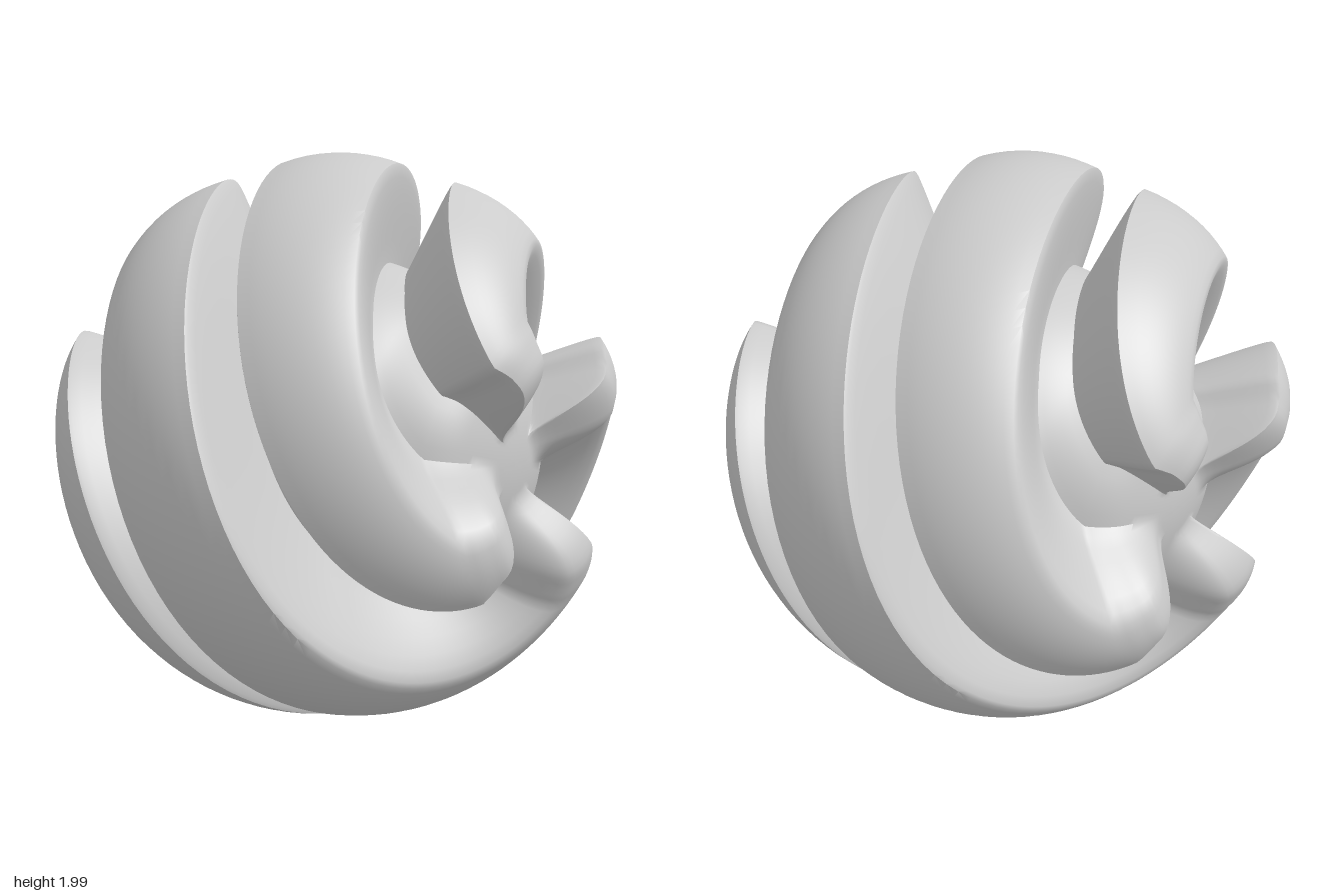
import * as THREE from 'three';
import { toCreasedNormals } from 'three/addons/utils/BufferGeometryUtils.js';

const { clamp, smoothstep, lerp, degToRad } = THREE.MathUtils;
const ROWS = 132;
const ARMS = 4;
// Columns per arm: groove floor, rising wall, crest, falling wall
const FLOOR = 5, WALL = 8, CREST = 10;

// Rotation of the ribs about the x axis, and half the groove width, in degrees
const twist = (x) => -143 * clamp(x, -0.84, 0.84);
const grooveHalf = (x) => 14 + 17.5 * Math.pow(Math.min(Math.abs(x), 0.88) / 0.8, 2);

// One arm's cross-section at x: [angle from groove centre, height 0..1].
// The wall facing the middle is steep, the wall facing the pole slopes.
function armProfile(x) {
  const w = grooveHalf(x);
  const lean = clamp(x / 0.5, -1, 1);
  const f0 = -w * (0.5 - 0.4 * lean);
  const f1 = w * (0.5 + 0.4 * lean);
  const pts = [];
  const run = (n, a, b, height) => {
    for (let i = 0; i < n; i++) pts.push([lerp(a, b, i / n), height(i / n)]);
  };
  // Walls curve out of the floor and round over into the crest
  const wall = (t) => 0.96 * lerp(smoothstep(t, 0, 1), Math.sin((t * Math.PI) / 2), 0.3);
  run(FLOOR, f0, f1, () => 0);
  run(WALL, f1, w, wall);
  run(CREST, w, 90 - w, (t) => 1 - 0.04 * Math.pow(2 * t - 1, 2));
  run(WALL, 90 - w, 90 + f0, (t) => wall(1 - t));
  return pts;
}

function twistedBallGeometry() {
  const positions = [], index = [];
  const cols = ARMS * (FLOOR + 2 * WALL + CREST);
  for (let i = 0; i <= ROWS; i++) {
    const lat = -90 + (180 * i) / ROWS;
    const x = Math.sin(degToRad(lat));
    const ring = Math.cos(degToRad(lat));
    const aLat = Math.abs(lat);
    // Ribs end in pointed tips round a shallow hollow at each pole
    const floorR = lerp(0.64, 0.72, smoothstep(aLat, 38, 68));
    const topR = lerp(0.995 - 0.02 * smoothstep(aLat, 58, 68), 0.72, smoothstep(aLat, 64, 81));
    const profile = armProfile(x);
    for (let arm = 0; arm < ARMS; arm++) {
      for (const [angle, h] of profile) {
        const phi = degToRad(angle + 90 * arm + 45 + twist(x));
        const r = lerp(floorR, topR, h);
        positions.push(r * x, r * ring * Math.sin(phi), r * ring * Math.cos(phi));
      }
    }
  }
  for (let i = 0; i < ROWS; i++) {
    for (let j = 0; j < cols; j++) {
      const k = (j + 1) % cols;
      const a = i * cols + j, b = a + cols, c = (i + 1) * cols + k, d = i * cols + k;
      if (i < ROWS - 1) index.push(a, b, c);
      if (i > 0) index.push(a, c, d);
    }
  }
  const geometry = new THREE.BufferGeometry();
  geometry.setAttribute('position', new THREE.Float32BufferAttribute(positions, 3));
  geometry.setIndex(index);
  return toCreasedNormals(geometry, degToRad(40));
}

export function createModel() {
  const model = new THREE.Group();
  model.name = 'twistedBall';
  const ball = new THREE.Mesh(
    twistedBallGeometry(),
    new THREE.MeshStandardMaterial({ color: 0xcccccc })
  );
  ball.name = 'spiralRibs';
  ball.position.y = 1;
  model.add(ball);
  return model;
}
